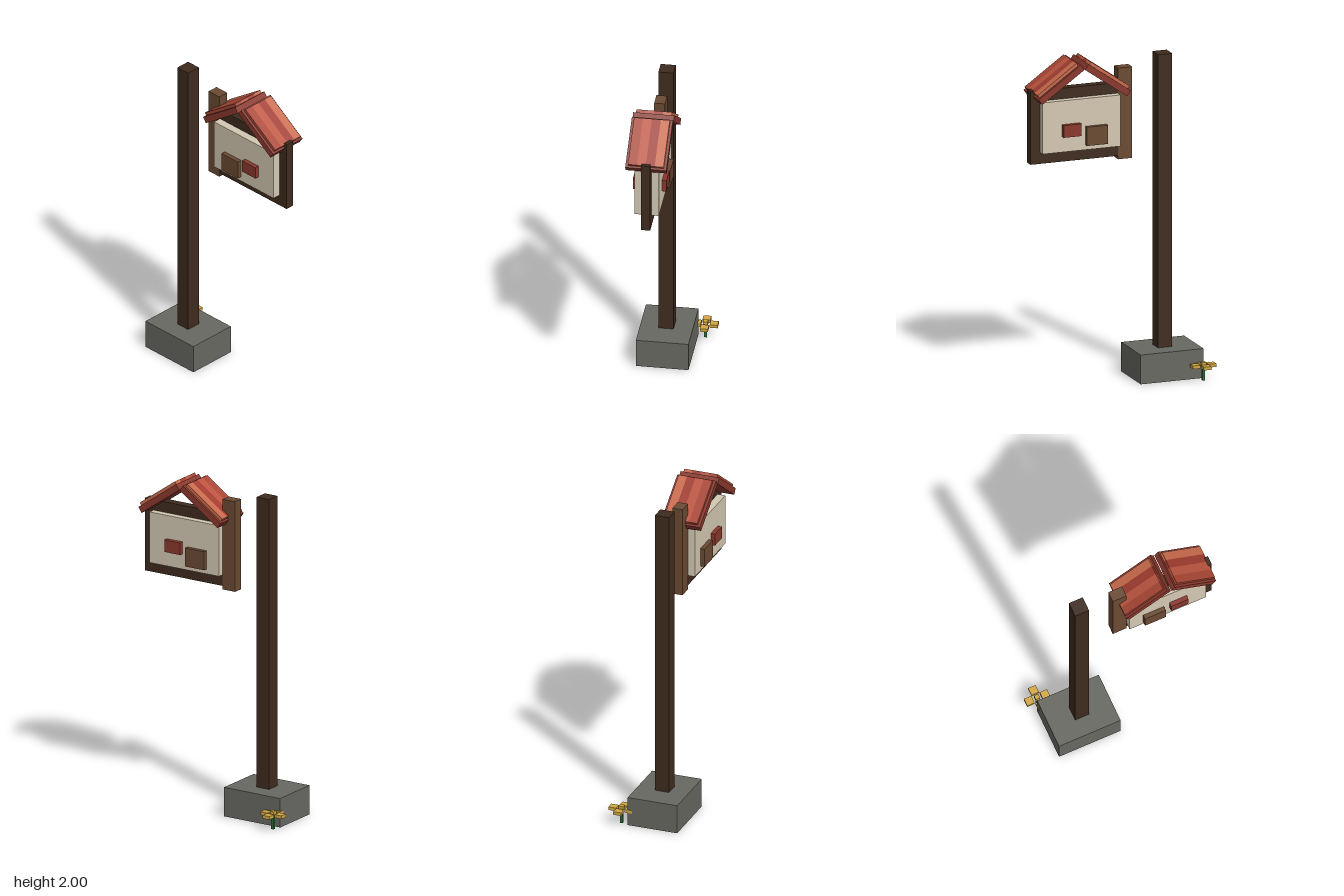
import * as THREE from 'three';

const material = (color) => new THREE.MeshStandardMaterial({ color, flatShading: true });
const darkWood = material(0x3f2b1e);
const wood = material(0x6b4a32);
const cream = material(0xd4c8b2);
const red = material(0x8a382d);
const stone = material(0x686862);
const gold = material(0xd4a843);
const green = material(0x2e6b3a);
const tiles = [0xc86a4c, 0xa03c30, 0xbc5540, 0xa84634].map(material);

// Box given by its [min, max] extent on each axis
function box(parent, name, mat, [x0, x1], [y0, y1], [z0, z1]) {
  const mesh = new THREE.Mesh(new THREE.BoxGeometry(x1 - x0, y1 - y0, z1 - z0), mat);
  mesh.position.set((x0 + x1) / 2, (y0 + y1) / 2, (z0 + z1) / 2);
  mesh.name = name;
  parent.add(mesh);
  return mesh;
}

// One roof slope, built flat with its lower eave corner at the origin
function roofSlope(side) {
  const slope = new THREE.Group();
  slope.name = side > 0 ? 'roofSlopeLeft' : 'roofSlopeRight';
  const length = 0.327, thick = 0.04;
  const along = (a, b) => (side > 0 ? [-b, -a] : [a, b]);
  box(slope, 'roofBoard', red, along(0, length), [0, thick], [-0.123, 0.123]);
  // Four tile strips, each running from eave to ridge
  const width = 0.0535;
  tiles.forEach((mat, i) => {
    const z = (i - 2) * width;
    box(slope, 'roofTile', mat, along(0.013, length - 0.011), [thick, thick + 0.019], [z, z + width]);
  });
  slope.position.set(0.242 + side * 0.27, 1.768, 0.06);
  slope.rotation.z = -side * THREE.MathUtils.degToRad(35);
  return slope;
}

export function createModel() {
  const model = new THREE.Group();
  model.name = 'noticeSign';

  // Stone foot and tall post
  box(model, 'base', stone, [-0.5, -0.1], [0, 0.18], [-0.1, 0.215]);
  box(model, 'post', darkWood, [-0.345, -0.255], [0.18, 1.98], [0.013, 0.103]);

  // Hanging board
  const sign = new THREE.Group();
  sign.name = 'sign';
  box(sign, 'sidePost', wood, [-0.095, -0.006], [1.36, 1.92], [0.026, 0.091]);
  box(sign, 'board', darkWood, [-0.02, 0.55], [1.38, 1.83], [0.031, 0.086]);
  box(sign, 'panel', cream, [-0.006, 0.49], [1.45, 1.765], [-0.012, 0.135]);

  // Notices on both faces of the panel
  for (const z of [[0.135, 0.162], [-0.039, -0.012]]) {
    box(sign, 'largeNotice', wood, [0.083, 0.218], [1.48, 1.595], z);
    box(sign, 'smallNotice', red, [0.253, 0.365], [1.545, 1.62], z);
  }
  sign.add(roofSlope(-1), roofSlope(1));
  model.add(sign);

  // Small flower behind the foot
  const flower = new THREE.Group();
  flower.name = 'flower';
  box(flower, 'stem', green, [-0.008, 0.008], [0, 0.095], [-0.008, 0.008]);
  box(flower, 'flowerCentre', gold, [-0.014, 0.014], [0.085, 0.112], [-0.014, 0.014]);
  for (const [x, z] of [[1, 0], [-1, 0], [0, 1], [0, -1]]) {
    const px = x * 0.051, pz = z * 0.051;
    box(flower, 'petal', gold, [px - 0.024, px + 0.024], [0.08, 0.1], [pz - 0.024, pz + 0.024]);
  }
  flower.position.set(-0.48, 0, -0.146);
  model.add(flower);

  return model;
}
